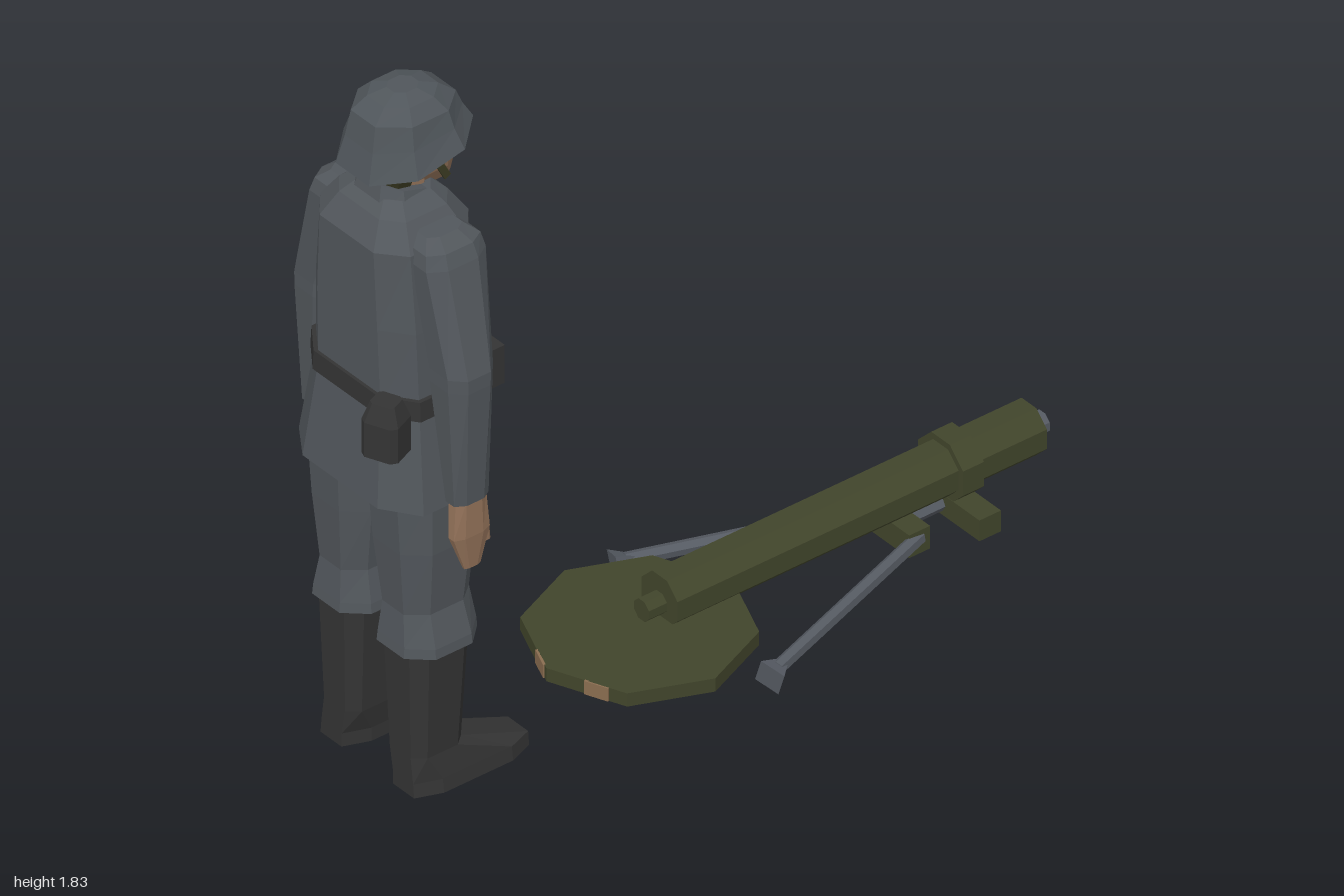
import * as THREE from 'three';

const mat = (name, color) => {
  const m = new THREE.MeshStandardMaterial({ color, flatShading: true });
  m.name = name;
  return m;
};

// Stack of chamfered cross-sections, bottom to top: [y, cx, cz, rx, rz, tilt]
function loft(rings, k = 0.5) {
  const ring = [[1, -k], [1, k], [k, 1], [-k, 1], [-1, k], [-1, -k], [-k, -1], [k, -1]];
  const n = ring.length, pos = [], idx = [];
  for (const [y, cx, cz, rx, rz, tilt = 0] of rings)
    for (const [u, v] of ring) pos.push(cx + u * rx, y - v * tilt, cz - v * rz);
  for (let i = 0; i < rings.length - 1; i++)
    for (let j = 0; j < n; j++) {
      const a = i * n + j, b = i * n + (j + 1) % n;
      idx.push(a, b, b + n, a, b + n, a + n);
    }
  const top = (rings.length - 1) * n;
  for (let j = 1; j < n - 1; j++) idx.push(0, j + 1, j, top, top + j, top + j + 1);
  const g = new THREE.BufferGeometry();
  g.setAttribute('position', new THREE.Float32BufferAttribute(pos, 3));
  g.setIndex(idx);
  const flat = g.toNonIndexed();
  flat.computeVertexNormals();
  return flat;
}

export function createModel() {
  const cloth = mat('field grey cloth', 0x52575c);
  const steel = mat('helmet grey', 0x50565b);
  const leather = mat('black leather', 0x343434);
  const skin = mat('skin', 0x94735a);
  const olive = mat('olive paint', 0x41452b);
  const hairMat = mat('dark hair', 0x3a3a22);
  const metal = mat('bare metal', 0x565b63);
  const tan = mat('tan mark', 0x8a6d50);

  const model = new THREE.Group();
  const soldier = new THREE.Group();
  soldier.name = 'soldier';
  const mortar = new THREE.Group();
  mortar.name = 'mortar';
  model.add(soldier, mortar);

  const add = (parent, name, geo, material, x = 0, y = 0, z = 0) => {
    const m = new THREE.Mesh(geo, material);
    m.name = name;
    m.position.set(x, y, z);
    parent.add(m);
    return m;
  };
  const box = (parent, name, material, w, h, d, x, y, z) =>
    add(parent, name, new THREE.BoxGeometry(w, h, d), material, x, y, z);
  // Cylinder lying along a line between two points
  const rod = (parent, name, material, a, b, ra, rb, sides) => {
    const p = new THREE.Vector3(...a), q = new THREE.Vector3(...b);
    const d = q.clone().sub(p);
    const g = new THREE.CylinderGeometry(rb, ra, d.length(), sides);
    g.rotateY(Math.PI / sides);
    const m = add(parent, name, g, material);
    m.position.copy(p).add(q).multiplyScalar(0.5);
    m.quaternion.setFromUnitVectors(new THREE.Vector3(0, 1, 0), d.normalize());
    return m;
  };

  // ---- Soldier, facing -z ----
  add(soldier, 'tunic', loft([
    [0.85, 0, 0.806, 0.215, 0.148], [1.1, 0, 0.8, 0.178, 0.128],
    [1.3, 0, 0.802, 0.172, 0.132], [1.5, 0, 0.804, 0.155, 0.132],
    [1.56, 0, 0.806, 0.115, 0.095], [1.59, 0, 0.806, 0.08, 0.065]], 0.6), cloth);
  add(soldier, 'collar', loft([
    [1.53, 0, 0.805, 0.1, 0.085, 0.01], [1.6, 0, 0.805, 0.075, 0.065, 0.02]]), cloth);
  add(soldier, 'belt', loft([
    [1.08, 0, 0.8, 0.19, 0.138], [1.13, 0, 0.8, 0.187, 0.137]], 0.6), leather);

  for (const s of [-1, 1]) {
    // Boots with long toes
    add(soldier, 'boot', loft([
      [0.065, s * 0.125, 0.718, 0.06, 0.16], [0.1, s * 0.123, 0.718, 0.058, 0.16],
      [0.165, s * 0.113, 0.808, 0.06, 0.07], [0.46, s * 0.112, 0.805, 0.073, 0.083]], 0.6), leather);
    // Trousers bloused over the boots
    add(soldier, 'trouserLeg', loft([
      [0.445, s * 0.111, 0.802, 0.094, 0.102], [0.47, s * 0.111, 0.802, 0.092, 0.1],
      [0.55, s * 0.108, 0.803, 0.073, 0.091], [0.72, s * 0.105, 0.804, 0.094, 0.106],
      [0.88, s * 0.103, 0.805, 0.102, 0.116]], 0.5), cloth);
    // Sleeves and hands
    add(soldier, 'sleeve', loft([
      [0.88, s * 0.247, 0.8, 0.029, 0.048], [1.19, s * 0.233, 0.805, 0.063, 0.062],
      [1.225, s * 0.232, 0.805, 0.064, 0.063], [1.48, s * 0.175, 0.794, 0.052, 0.083],
      [1.515, s * 0.17, 0.794, 0.043, 0.076], [1.54, s * 0.15, 0.797, 0.03, 0.05]], 0.5), cloth);
    add(soldier, 'hand', loft([
      [0.7, s * 0.256, 0.795, 0.007, 0.022], [0.79, s * 0.254, 0.8, 0.019, 0.05],
      [0.89, s * 0.248, 0.8, 0.024, 0.042]], 0.5), skin);
    add(soldier, 'thumb', loft([
      [0.745, s * 0.247, 0.748, 0.007, 0.01], [0.83, s * 0.248, 0.768, 0.011, 0.02]]), skin);
    // Belt pouches
    box(soldier, 'beltPouch', leather, 0.1, 0.1, 0.06, s * 0.11, 1.105, 0.655);
    add(soldier, 'chinStrap', new THREE.BoxGeometry(0.006, 0.1, 0.018), hairMat,
      s * 0.069, 1.635, 0.735).rotation.x = 0.5;
  }

  // Canteen on the back of the belt
  const canteen = add(soldier, 'canteen', loft([
    [1.01, 0, 0, 0.045, 0.042], [1.1, 0, 0, 0.045, 0.042], [1.145, 0, 0, 0.03, 0.026]], 0.7),
  leather, 0.148, 0, 0.945);
  canteen.rotation.y = 0.4;

  // Head and helmet
  add(soldier, 'neck', loft([[1.5, 0, 0.8, 0.055, 0.055], [1.64, 0, 0.79, 0.055, 0.06]]), skin);
  add(soldier, 'head', loft([
    [1.565, 0, 0.705, 0.035, 0.045], [1.61, 0, 0.745, 0.06, 0.085],
    [1.67, 0, 0.765, 0.075, 0.1], [1.76, 0, 0.775, 0.075, 0.095]], 0.5), skin);
  add(soldier, 'nose', loft([
    [1.645, 0, 0.656, 0.013, 0.02], [1.695, 0, 0.665, 0.007, 0.01]]), skin);
  add(soldier, 'hair', loft([
    [1.6, 0, 0.822, 0.058, 0.035], [1.65, 0, 0.828, 0.078, 0.048],
    [1.72, 0, 0.828, 0.08, 0.05]], 0.5), hairMat);
  add(soldier, 'helmet', loft([
    [1.68, 0, 0.775, 0.128, 0.145, -0.03], [1.735, 0, 0.777, 0.106, 0.125, -0.014],
    [1.785, 0, 0.778, 0.094, 0.112], [1.815, 0, 0.78, 0.066, 0.075],
    [1.828, 0, 0.78, 0.03, 0.034]], 0.45), steel);

  // ---- Mortar, lying on the ground ----
  const plate = new THREE.CylinderGeometry(0.26, 0.26, 0.035, 8);
  add(mortar, 'basePlate', plate, olive, 0, 0.083, 0.12);
  // Tan marks on the plate rim
  for (const [x, z, a] of [[0.115, 0.333, Math.PI / 8], [-0.04, 0.364, -Math.PI / 8]])
    box(mortar, 'rimMark', tan, 0.06, 0.035, 0.006, x, 0.083, z).rotation.y = a;

  const y = 0.143;
  rod(mortar, 'barrel', olive, [0, y, 0.065], [0, y, -0.963], 0.067, 0.067, 8);
  rod(mortar, 'breech', olive, [0, y - 0.007, 0.115], [0, y - 0.007, 0.06], 0.028, 0.028, 8);
  rod(mortar, 'muzzleCore', metal, [0, y - 0.003, -0.95], [0, y - 0.003, -1], 0.028, 0.028, 8);
  rod(mortar, 'barrelClamp', olive, [0, y, -0.717], [0, y, -0.775], 0.084, 0.084, 8);
  box(mortar, 'elevatingBlock', olive, 0.2, 0.055, 0.06, 0.035, 0.05, -0.746);
  rod(mortar, 'traverseScrew', metal, [-0.06, 0.05, -0.75], [-0.135, 0.05, -0.75], 0.018, 0.018, 6);
  rod(mortar, 'elevatingScrew', metal, [0, 0.05, -0.58], [0, 0.05, -0.75], 0.018, 0.018, 6);
  box(mortar, 'bipodHead', olive, 0.165, 0.06, 0.058, 0, 0.047, -0.592);

  // Bipod legs with spade feet
  for (const s of [-1, 1]) {
    rod(mortar, 'bipodLeg', metal, [s * 0.072, 0.052, -0.6], [s * 0.262, 0.052, -0.05], 0.017, 0.017, 6);
    rod(mortar, 'bipodFoot', metal, [s * 0.25, 0.048, -0.08], [s * 0.268, 0.042, -0.025], 0.012, 0.044, 4);
  }
  return model;
}
